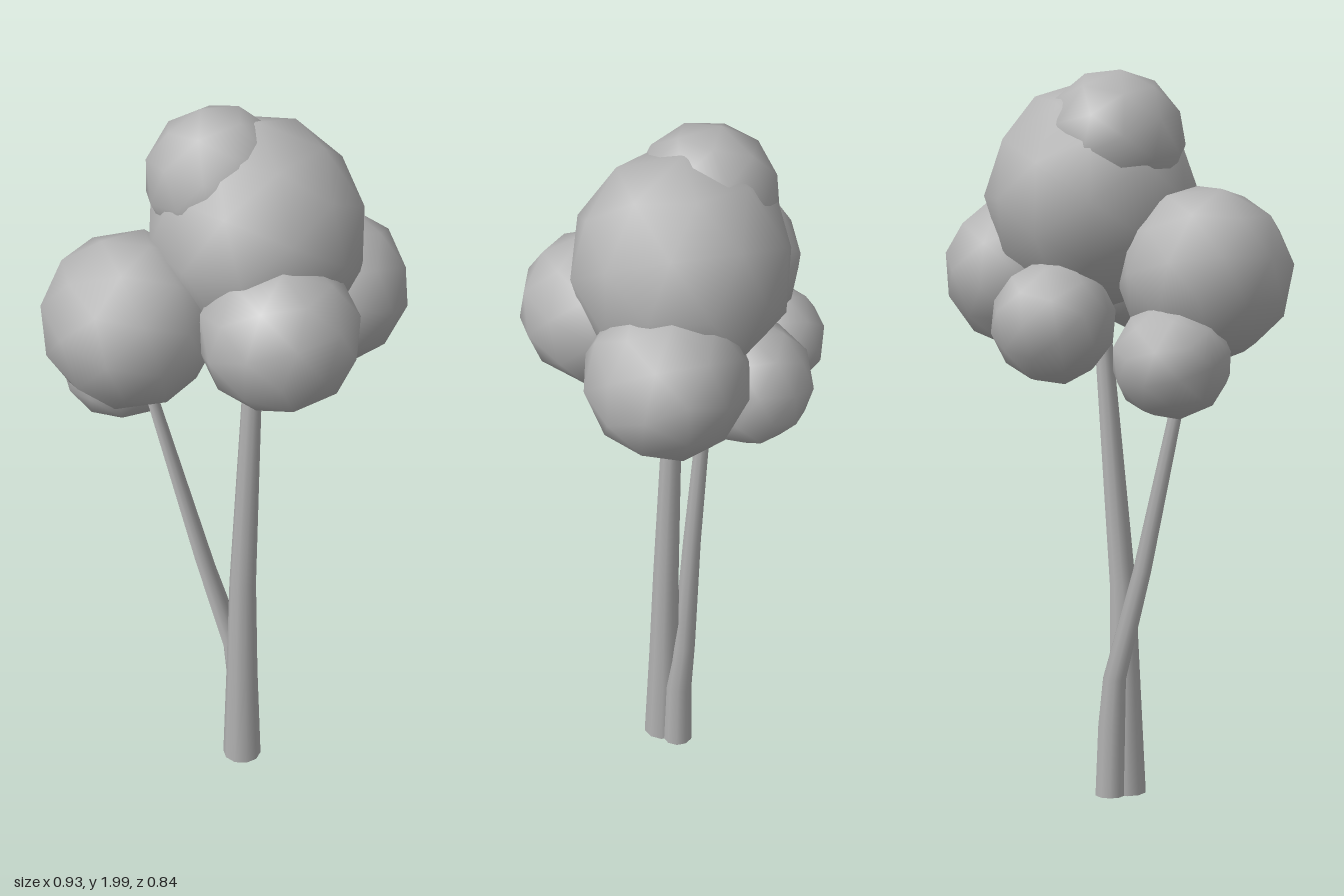
import * as THREE from 'three';

const grey = new THREE.MeshStandardMaterial({ color: 0xb4b4b4 });
grey.name = 'plain grey';

// Tapered trunk through points [x, y, z, radius], listed from the bottom up
function makeTrunk(name, points) {
  const rows = points.length - 1;
  const geometry = new THREE.CylinderGeometry(1, 1, 1, 10, rows);
  const pos = geometry.attributes.position;
  for (let i = 0; i < pos.count; i++) {
    const [x, y, z, r] = points[Math.round((pos.getY(i) + 0.5) * rows)];
    pos.setXYZ(i, x + pos.getX(i) * r, y, z + pos.getZ(i) * r);
  }
  // radial normals of the cylinder still suit the thin trunk
  const mesh = new THREE.Mesh(geometry, grey);
  mesh.name = name;
  return mesh;
}

// Rounded low-poly clump of leaves
function makeClump([name, x, y, z, r, stretch], index) {
  const geometry = new THREE.IcosahedronGeometry(r * 1.015, 1);
  geometry.rotateY(index * 0.7);
  geometry.rotateX(index * 0.4);
  geometry.scale(1, stretch, 1);
  const mesh = new THREE.Mesh(geometry, grey);
  mesh.name = name;
  mesh.position.set(x, y, z);
  return mesh;
}

export function createModel() {
  const tree = new THREE.Group();
  tree.name = 'tree';

  // Two crossing trunks
  tree.add(
    makeTrunk('mainTrunk', [
      [-0.035, 0.005, 0.06, 0.054],
      [-0.03, 0.3, 0.055, 0.044],
      [-0.022, 0.6, 0.05, 0.037],
      [0.03, 1.27, 0.04, 0.025],
      [0.04, 1.45, 0.035, 0.022],
    ]),
    makeTrunk('leaningTrunk', [
      [0.012, 0.005, 0.027, 0.043],
      [0.008, 0.2, 0.022, 0.039],
      [0.0, 0.34, 0.004, 0.033],
      [-0.075, 0.65, -0.04, 0.026],
      [-0.185, 1.2, -0.122, 0.017],
      [-0.205, 1.3, -0.14, 0.015],
    ])
  );

  // Crown: name, centre x, y, z, radius, vertical stretch
  const clumps = [
    ['mainClump', 0.06, 1.66, 0.025, 0.285, 1.07],
    ['topClump', 0.0, 1.81, -0.055, 0.188, 1],
    ['rightBackClump', -0.24, 1.465, -0.15, 0.23, 1.01],
    ['frontClump', -0.07, 1.485, 0.21, 0.21, 0.96],
    ['leftClump', 0.25, 1.455, 0.115, 0.212, 1],
    ['backClump', 0.16, 1.338, -0.13, 0.165, 1],
    ['lowBackClump', -0.15, 1.25, -0.27, 0.157, 0.96],
  ];
  const crown = new THREE.Group();
  crown.name = 'crown';
  clumps.forEach((c, i) => crown.add(makeClump(c, i)));
  tree.add(crown);

  return tree;
}
